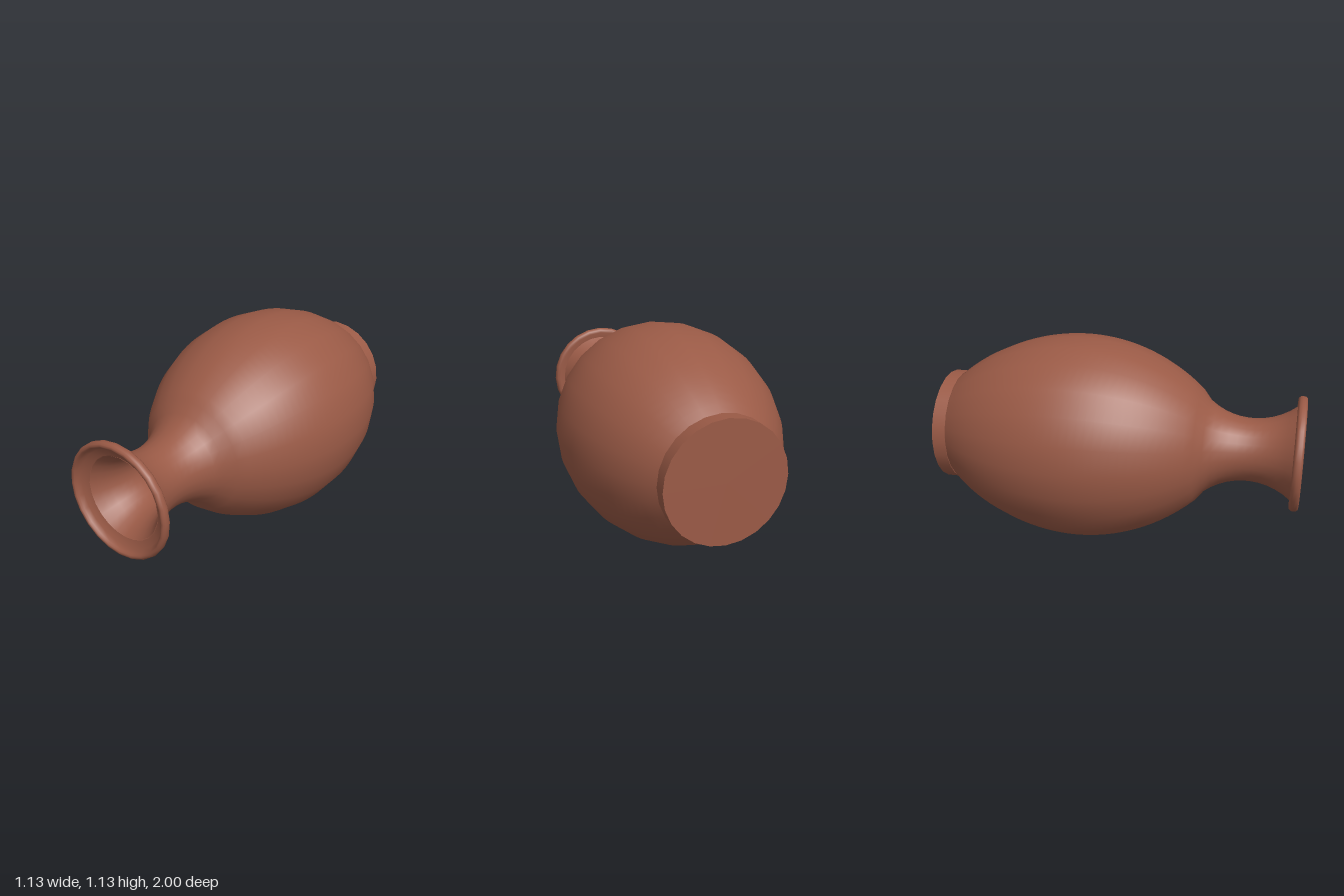
import * as THREE from 'three';

const SIDES = 24;
const AXIS_Y = 0.57;
const WALL = 0.03;

// Radius of the belly at a station z: two arcs meeting at the widest ring
function bellyRadius(z) {
  const d = z + 0.22;
  const R = d > 0 ? 0.983 : 1.08;
  return 0.567 - (R - Math.sqrt(R * R - d * d));
}

// Radius of the waisted neck at a station z
function neckRadius(z) {
  const d = z - 0.72;
  return 0.172 + 0.37 - Math.sqrt(0.37 * 0.37 - d * d);
}

// Points [radius, z] along the wall from z0 to z1, moved inwards by inset
function wallPoints(z0, z1, inset, steps) {
  const points = [];
  for (let i = 0; i <= steps; i++) {
    const z = z0 + (z1 - z0) * i / steps;
    const r = z < 0.45 ? bellyRadius(z) : neckRadius(z);
    points.push([r - inset, z]);
  }
  return points;
}

export function createModel() {
  const group = new THREE.Group();
  group.name = 'vase';
  const clay = new THREE.MeshStandardMaterial({ color: 0x9a5a46, side: THREE.DoubleSide });

  // Revolve a profile around the lying axis of the vase
  function turn(name, profile) {
    const points = profile.map(([r, z]) => new THREE.Vector2(r, z));
    const geometry = new THREE.LatheGeometry(points, SIDES);
    geometry.rotateX(Math.PI / 2).rotateZ(-0.01).translate(0, AXIS_Y, 0);
    const mesh = new THREE.Mesh(geometry, clay);
    mesh.name = name;
    group.add(mesh);
  }

  // Foot: flat base and short straight wall
  turn('footBase', [[0, -1], [0.31, -1]]);
  turn('footWall', [[0.31, -1], [0.31, -0.925]]);

  // Belly flowing into the neck
  turn('body', wallPoints(-0.925, 0.955, 0, 44));

  // Rounded lip around the mouth
  turn('lip', [
    [0.25, 0.955], [0.285, 0.95], [0.3, 0.952], [0.309, 0.962], [0.311, 0.975],
    [0.309, 0.988], [0.302, 0.997], [0.293, 1], [0.285, 0.996], [0.28, 0.985],
    [0.265, 0.965], [0.225, 0.95],
  ]);

  // Hollow inside, from the mouth down to the floor
  turn('innerWall', wallPoints(0.95, -0.92, WALL, 44));
  turn('innerFloor', [[bellyRadius(-0.92) - WALL, -0.92], [0, -0.92]]);

  return group;
}
